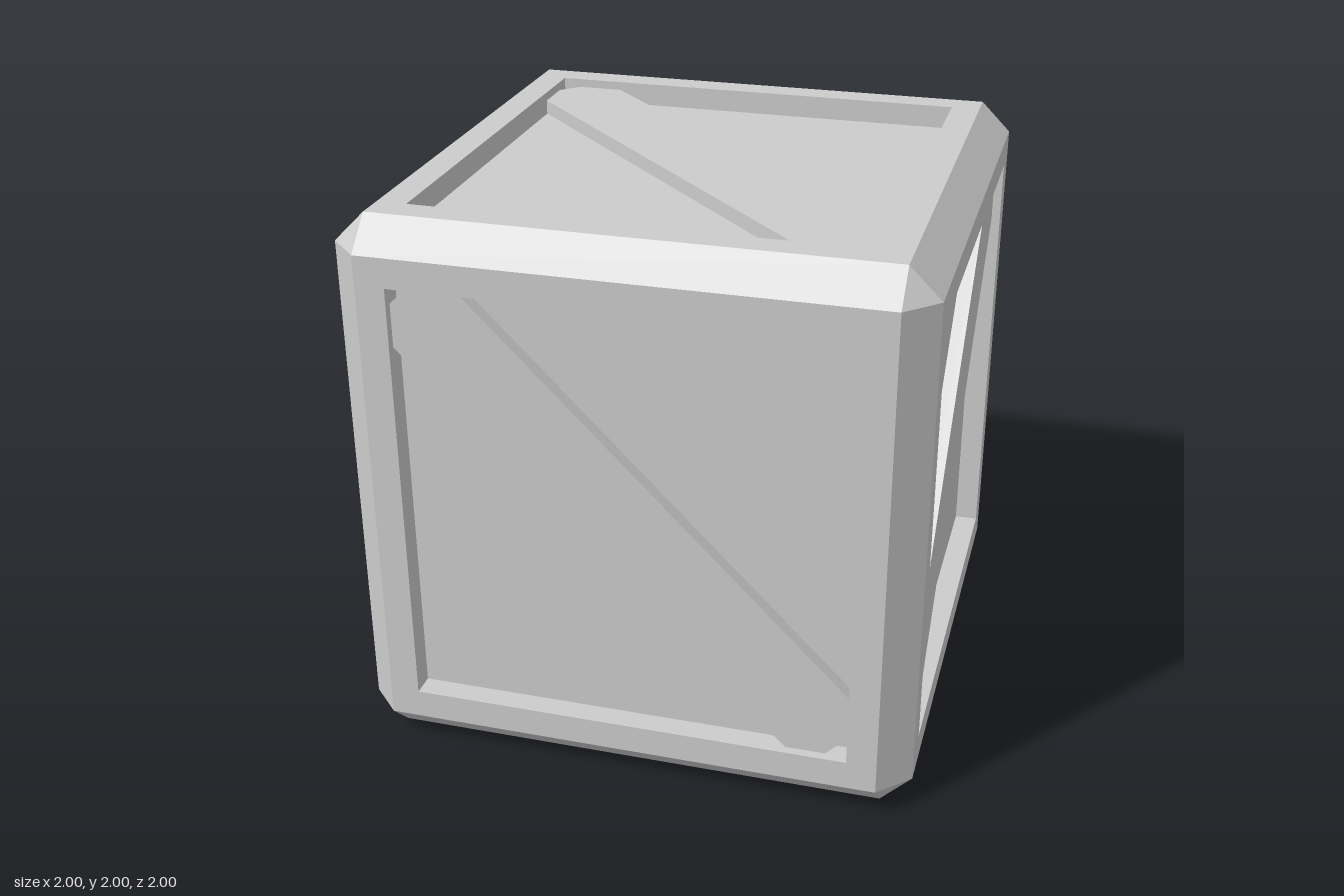
import * as THREE from 'three';
import { mergeGeometries } from 'three/addons/utils/BufferGeometryUtils.js';

const FLAT = 0.89;    // half width of each flat face, inside the bevels
const OPEN = 0.785;   // half width of the recessed panel
const FLOOR = 0.915;  // distance from the centre to the panel
const PLANK = 0.968;  // distance from the centre to the plank's top
const Q = Math.PI / 2;

const mat = new THREE.MeshStandardMaterial({ color: 0xcccccc, flatShading: true });

function part(name, geometry) {
  const mesh = new THREE.Mesh(geometry, mat);
  mesh.name = name;
  return mesh;
}

function square(Type, h) {
  return new Type([[-h, -h], [h, -h], [h, h], [-h, h]].map(p => new THREE.Vector2(...p)));
}

// One side of the crate, facing +z: rim, recess walls, panel and diagonal plank
function createSide(name, flip) {
  const side = new THREE.Group();
  side.name = name;

  const rim = square(THREE.Shape, FLAT);
  rim.holes.push(square(THREE.Path, OPEN));
  side.add(part('rim', new THREE.ShapeGeometry(rim).translate(0, 0, 1)));

  const walls = [0, 1, 2, 3].map(k => new THREE.PlaneGeometry(2 * OPEN, 1 - FLOOR)
    .rotateX(Q).translate(0, OPEN, (1 + FLOOR) / 2).rotateZ(k * Q));
  side.add(part('recessWalls', mergeGeometries(walls)));

  side.add(part('panel', new THREE.PlaneGeometry(2 * OPEN, 2 * OPEN).translate(0, 0, FLOOR)));

  // Plank from corner to corner with clipped ends
  const outline = [
    [-OPEN, 0.565], [0.565, -OPEN], [0.705, -OPEN], [OPEN, -0.705],
    [OPEN, -0.55], [-0.55, OPEN], [-0.72, OPEN], [-OPEN, 0.72],
  ].map(([x, y]) => new THREE.Vector2(flip ? -x : x, y));
  const plank = new THREE.ExtrudeGeometry(new THREE.Shape(outline),
    { depth: PLANK - FLOOR, bevelEnabled: false });
  side.add(part('diagonalPlank', plank.translate(0, 0, FLOOR)));
  return side;
}

// Twelve bevelled edges: four around each axis
function createEdges() {
  const mid = (1 + FLAT) / 2;
  const strips = [];
  for (let axis = 0; axis < 3; axis++) {
    for (let k = 0; k < 4; k++) {
      const strip = new THREE.PlaneGeometry(2 * FLAT, (1 - FLAT) * Math.SQRT2)
        .rotateX(-Q / 2).translate(0, mid, mid).rotateX(k * Q);
      if (axis === 1) strip.rotateZ(Q);
      if (axis === 2) strip.rotateY(Q);
      strips.push(strip);
    }
  }
  return part('bevelledEdges', mergeGeometries(strips));
}

// Eight triangular corner cuts
function createCorners() {
  const pos = [];
  for (const x of [-1, 1]) for (const y of [-1, 1]) for (const z of [-1, 1]) {
    const tri = [[1, FLAT, FLAT], [FLAT, 1, FLAT], [FLAT, FLAT, 1]];
    if (x * y * z < 0) tri.reverse();
    for (const p of tri) pos.push(p[0] * x, p[1] * y, p[2] * z);
  }
  const geo = new THREE.BufferGeometry();
  geo.setAttribute('position', new THREE.Float32BufferAttribute(pos, 3));
  geo.computeVertexNormals();
  return part('clippedCorners', geo);
}

export function createModel() {
  const crate = new THREE.Group();
  crate.name = 'crate';
  const sides = [
    ['front', 0, 0, false], ['rightSide', 0, Q, true],
    ['back', 0, 2 * Q, false], ['leftSide', 0, -Q, true],
    ['top', -Q, 0, false], ['bottom', Q, 0, false],
  ];
  for (const [name, rx, ry, flip] of sides) {
    const side = createSide(name, flip);
    side.rotation.set(rx, ry, 0);
    crate.add(side);
  }
  crate.add(createEdges(), createCorners());
  crate.children.forEach(c => { c.position.y = 1; });

  const model = new THREE.Group();
  model.name = 'woodenCrate';
  model.add(crate);
  return model;
}
